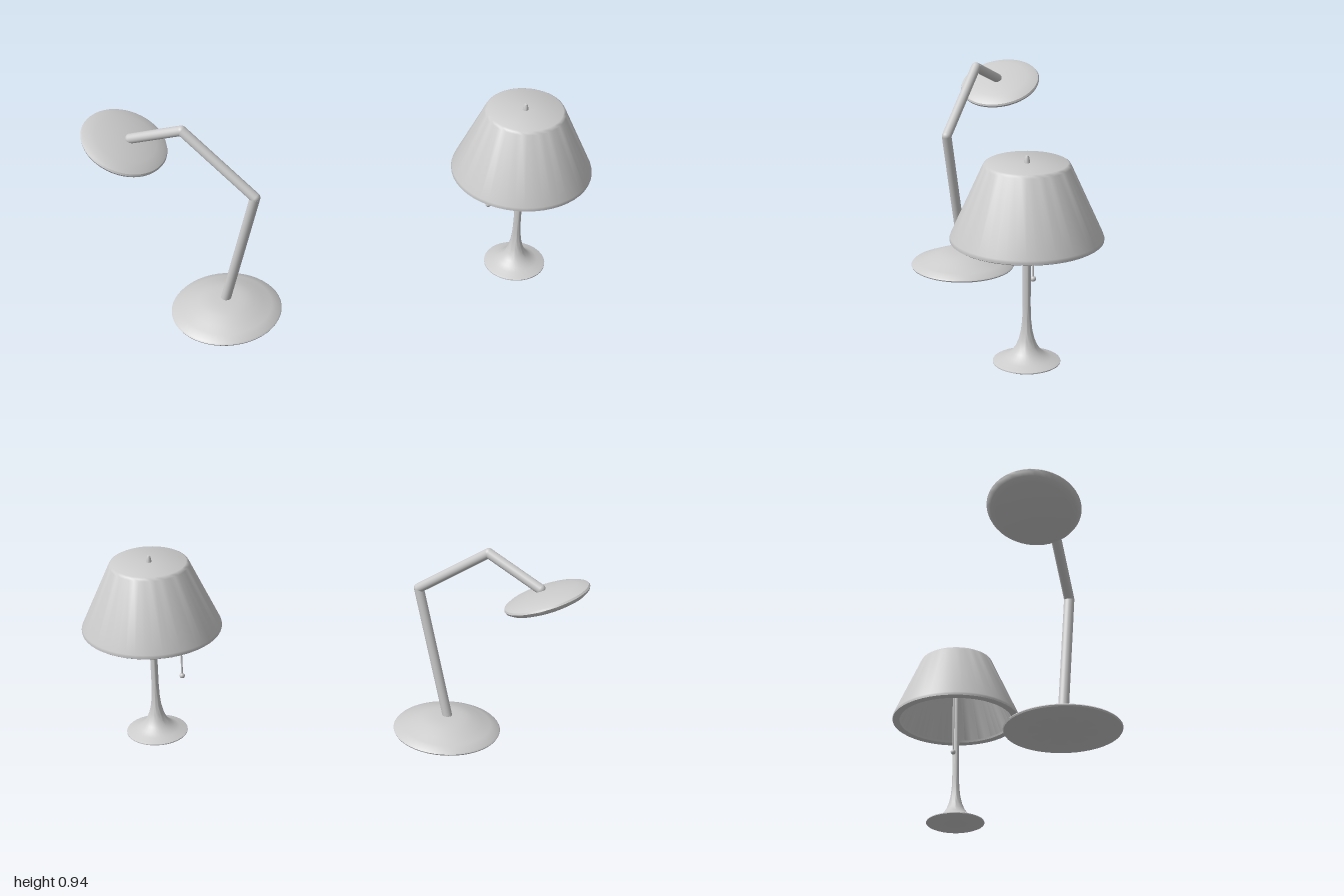
import * as THREE from 'three';
import { toCreasedNormals } from 'three/addons/utils/BufferGeometryUtils.js';

const material = new THREE.MeshStandardMaterial({ color: 0xcccccc });

function addMesh(parent, name, geometry, position = [0, 0, 0]) {
  const mesh = new THREE.Mesh(geometry, material);
  mesh.name = name;
  mesh.position.set(...position);
  parent.add(mesh);
  return mesh;
}

// Turned part: [radius, height] pairs running from the underside outwards and up
function turned(profile, segments = 48, crease = 0.6) {
  const points = profile.map(([r, y]) => new THREE.Vector2(r, y));
  return toCreasedNormals(new THREE.LatheGeometry(points, segments), crease);
}

// Straight rod between two points
function addRod(parent, name, from, to, radius) {
  const a = new THREE.Vector3(...from);
  const b = new THREE.Vector3(...to);
  const dir = b.clone().sub(a);
  const rod = addMesh(parent, name, new THREE.CylinderGeometry(radius, radius, dir.length(), 20));
  rod.position.copy(a).add(b).multiplyScalar(0.5);
  rod.quaternion.setFromUnitVectors(new THREE.Vector3(0, 1, 0), dir.normalize());
}

function createDeskLamp() {
  const lamp = new THREE.Group();
  lamp.name = 'deskLamp';

  // Low domed foot
  addMesh(lamp, 'deskBase', turned([
    [0, 0], [0.23, 0], [0.24, 0.004], [0.243, 0.01], [0.238, 0.016], [0.2, 0.032],
    [0.16, 0.049], [0.12, 0.065], [0.09, 0.073], [0.06, 0.077], [0, 0.078],
  ]), [-0.37, 0, 0.415]);

  // Bent arm with rounded joints
  const joints = [
    [-0.37, 0.075, 0.417], [-0.208, 0.677, 0.415], [-0.54, 0.923, 0.418], [-0.79, 0.812, 0.421],
  ];
  const radius = 0.022;
  joints.forEach((joint, i) => {
    addMesh(lamp, 'armJoint', new THREE.SphereGeometry(radius, 20, 12), joint);
    if (i > 0) addRod(lamp, 'armSegment', joints[i - 1], joint, radius);
  });

  // Tilted lens-shaped head with a flat underside
  const head = addMesh(lamp, 'lampHead', turned([
    [0, -0.026], [0.15, -0.026], [0.172, -0.019], [0.186, -0.009], [0.19, 0], [0.186, 0.008],
    [0.17, 0.016], [0.135, 0.025], [0.09, 0.032], [0.045, 0.036], [0, 0.037],
  ]), [-0.823, 0.78, 0.42]);
  head.rotation.z = -0.385;
  return lamp;
}

function createTableLamp() {
  const lamp = new THREE.Group();
  lamp.name = 'tableLamp';
  lamp.position.set(0.693, 0, -0.358);

  // Flared foot running into the stem
  addMesh(lamp, 'baseAndStem', turned([
    [0, 0.058], [0.128, 0.058], [0.136, 0.062], [0.136, 0.066], [0.125, 0.071], [0.1, 0.079],
    [0.078, 0.091], [0.058, 0.108], [0.043, 0.13], [0.032, 0.157], [0.023, 0.195],
    [0.018, 0.24], [0.016, 0.3], [0.016, 0.88], [0, 0.88],
  ], 32));

  // Thick hollow shade with a closed top
  addMesh(lamp, 'shade', turned([
    [0, 0.872], [0.145, 0.872], [0.267, 0.59], [0.27, 0.581], [0.276, 0.578], [0.298, 0.578],
    [0.304, 0.582], [0.305, 0.588], [0.302, 0.598], [0.174, 0.882], [0.169, 0.89],
    [0.161, 0.895], [0, 0.895],
  ], 48, 0.7));

  // Small finial
  addMesh(lamp, 'finial', turned([
    [0, 0.89], [0.013, 0.89], [0.012, 0.898], [0.009, 0.915], [0.006, 0.922], [0, 0.925],
  ], 16));

  // Pull cord and its bead
  addRod(lamp, 'pullCord', [-0.131, 0.365, 0.027], [-0.131, 0.873, 0.027], 0.004);
  addMesh(lamp, 'pullBead', new THREE.SphereGeometry(0.012, 16, 12), [-0.131, 0.365, 0.027]);
  return lamp;
}

export function createModel() {
  const model = new THREE.Group();
  model.name = 'lampPair';
  model.add(createDeskLamp(), createTableLamp());
  return model;
}
